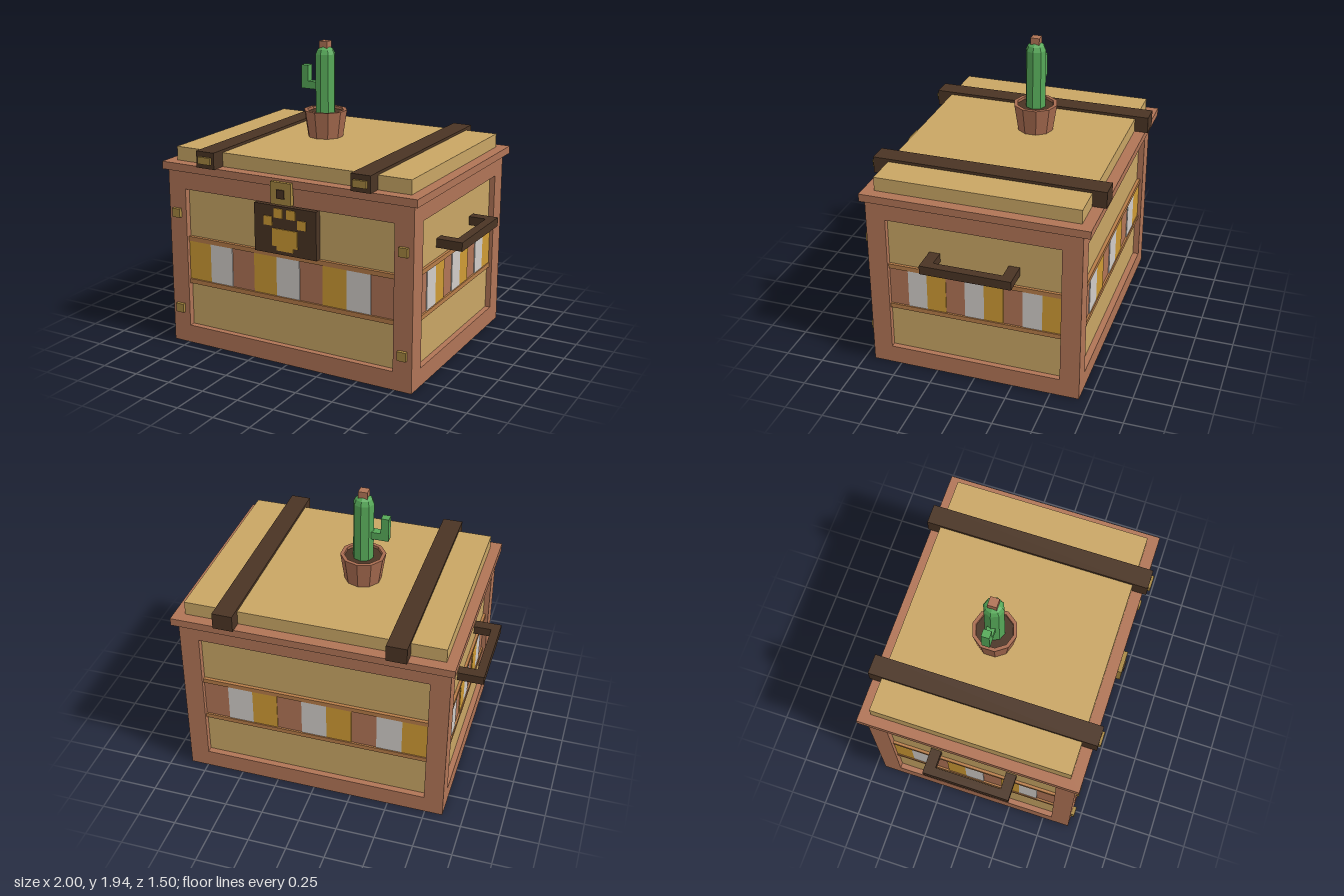
import * as THREE from 'three';

const mat = (name, color, flat = false) => {
  const m = new THREE.MeshStandardMaterial({ color, flatShading: flat });
  m.name = name;
  return m;
};

export function createModel() {
  const tan = mat('tanWood', 0xc8a564);
  const frame = mat('redBrownWood', 0xb07456);
  const rail = mat('orangeWood', 0xb67c48);
  const dark = mat('darkWood', 0x4a3424);
  const brass = mat('brass', 0xa68640);
  const yellow = mat('yellowPaint', 0xce9a34);
  const white = mat('whitePaint', 0xd0ccc8);
  const green = mat('cactusGreen', 0x56a858, true);
  const clay = mat('clay', 0xa86c50, true);

  const model = new THREE.Group();
  model.name = 'crateWithCactus';

  const add = (parent, name, geometry, material) => {
    const mesh = new THREE.Mesh(geometry, material);
    mesh.name = name;
    parent.add(mesh);
    return mesh;
  };
  // Box given by its extents on each axis
  const box = (parent, name, material, x0, x1, y0, y1, z0, z1) => {
    const mesh = add(parent, name, new THREE.BoxGeometry(x1 - x0, y1 - y0, z1 - z0), material);
    mesh.position.set((x0 + x1) / 2, (y0 + y1) / 2, (z0 + z1) / 2);
    return mesh;
  };

  // Plank core behind the frame
  box(model, 'plankCore', tan, -0.83, 0.83, 0.04, 1.17, -0.645, 0.645);

  // Corner posts
  for (const sx of [-1, 1]) for (const sz of [-1, 1]) {
    const post = add(model, 'cornerPost', new THREE.BoxGeometry(0.126, 1.18, 0.126), frame);
    post.position.set(sx * 0.803, 0.59, sz * 0.622);
  }

  // One framed wall: beams, rails and the painted band, facing local +z
  const wall = (name, half, dist, angle, flip) => {
    const g = new THREE.Group();
    g.name = name;
    g.rotation.y = angle;
    model.add(g);
    const panel = dist - 0.04;
    box(g, 'bottomBeam', frame, -half, half, 0, 0.12, panel, dist);
    box(g, 'topBeam', frame, -half, half, 1.05, 1.18, panel, dist);
    box(g, 'lowerRail', rail, -half, half, 0.41, 0.44, panel, panel + 0.022);
    box(g, 'upperRail', rail, -half, half, 0.70, 0.73, panel, panel + 0.022);
    box(g, 'band', frame, -half, half, 0.44, 0.70, panel, panel + 0.01);
    const step = half * 2 / 9;
    for (let i = 0; i < 9; i++) {
      if (i % 3 === 2) continue;
      const k = flip ? 8 - i : i;
      const x = -half + k * step;
      box(g, 'paintedStripe', i % 3 === 0 ? yellow : white,
        x, x + step, 0.442, 0.698, panel + 0.01, panel + 0.016);
    }
    return g;
  };
  wall('frontWall', 0.74, 0.685, 0, false);
  wall('backWall', 0.74, 0.685, Math.PI, true);
  wall('leftWall', 0.56, 0.866, Math.PI / 2, true);
  wall('rightWall', 0.56, 0.866, -Math.PI / 2, false);

  // Rim, lid and straps
  box(model, 'rim', frame, -0.895, 0.895, 1.17, 1.22, -0.735, 0.71);
  box(model, 'lid', tan, -0.828, 0.824, 1.22, 1.31, -0.663, 0.637);
  for (const x of [-0.545, 0.542]) {
    box(model, 'strap', dark, x - 0.065, x + 0.065, 1.221, 1.328, -0.752, 0.735);
    box(model, 'strapBuckle', brass, x - 0.045, x + 0.045, 1.25, 1.295, 0.735, 0.75);
  }

  // Side handles
  for (const s of [-1, 1]) {
    const handle = new THREE.Group();
    handle.name = 'sideHandle';
    handle.rotation.y = s * Math.PI / 2;
    model.add(handle);
    box(handle, 'handleGrip', dark, -0.29, 0.29, 0.80, 0.857, 0.943, 1);
    for (const z of [-0.255, 0.255])
      box(handle, 'handleArm', dark, z - 0.035, z + 0.035, 0.80, 0.857, 0.825, 0.943);
  }

  // Corner studs
  for (const x of [-0.805, 0.805]) for (const y of [0.237, 0.888])
    box(model, 'stud', brass, x - 0.029, x + 0.029, y - 0.029, y + 0.029, 0.68, 0.708);

  // Lock
  box(model, 'lockPlate', brass, -0.072, 0.072, 1.065, 1.205, 0.705, 0.735);
  box(model, 'keyhole', dark, -0.027, 0.027, 1.105, 1.16, 0.735, 0.743);

  // Plaque with a blocky paw mark
  box(model, 'plaque', dark, -0.22, 0.22, 0.73, 1.04, 0.64, 0.689);
  const paw = [
    [-0.09, 0.09, 0.782, 0.895], [-0.06, 0.058, 0.755, 0.782],
    [-0.075, -0.015, 0.965, 1.024], [0.012, 0.075, 0.965, 1.024],
    [-0.15, -0.09, 0.91, 0.968], [0.09, 0.15, 0.91, 0.968],
  ];
  for (const p of paw) box(model, 'pawMark', yellow, ...p, 0.689, 0.695);

  // Potted cactus
  const plant = new THREE.Group();
  plant.name = 'pottedCactus';
  plant.position.set(-0.147, 0, -0.077);
  model.add(plant);
  const lathe = (pts, n) => new THREE.LatheGeometry(pts.map(p => new THREE.Vector2(...p)), n);
  add(plant, 'pot', lathe([[0, 1.31], [0.117, 1.31], [0.144, 1.487], [0.12, 1.487], [0.118, 1.46]], 10), clay);
  const soil = add(plant, 'soil', new THREE.CylinderGeometry(0.119, 0.116, 0.03, 10), dark);
  soil.position.y = 1.455;
  add(plant, 'cactusStem',
    lathe([[0.066, 1.46], [0.066, 1.853], [0.053, 1.883], [0.03, 1.9], [0, 1.902]], 8), green);
  box(plant, 'cactusArm', green, -0.165, -0.05, 1.617, 1.666, -0.026, 0.026);
  box(plant, 'cactusArmTip', green, -0.165, -0.116, 1.666, 1.772, -0.026, 0.026);
  box(plant, 'cactusFlower', frame, -0.029, 0.029, 1.89, 1.938, -0.029, 0.029);

  return model;
}
